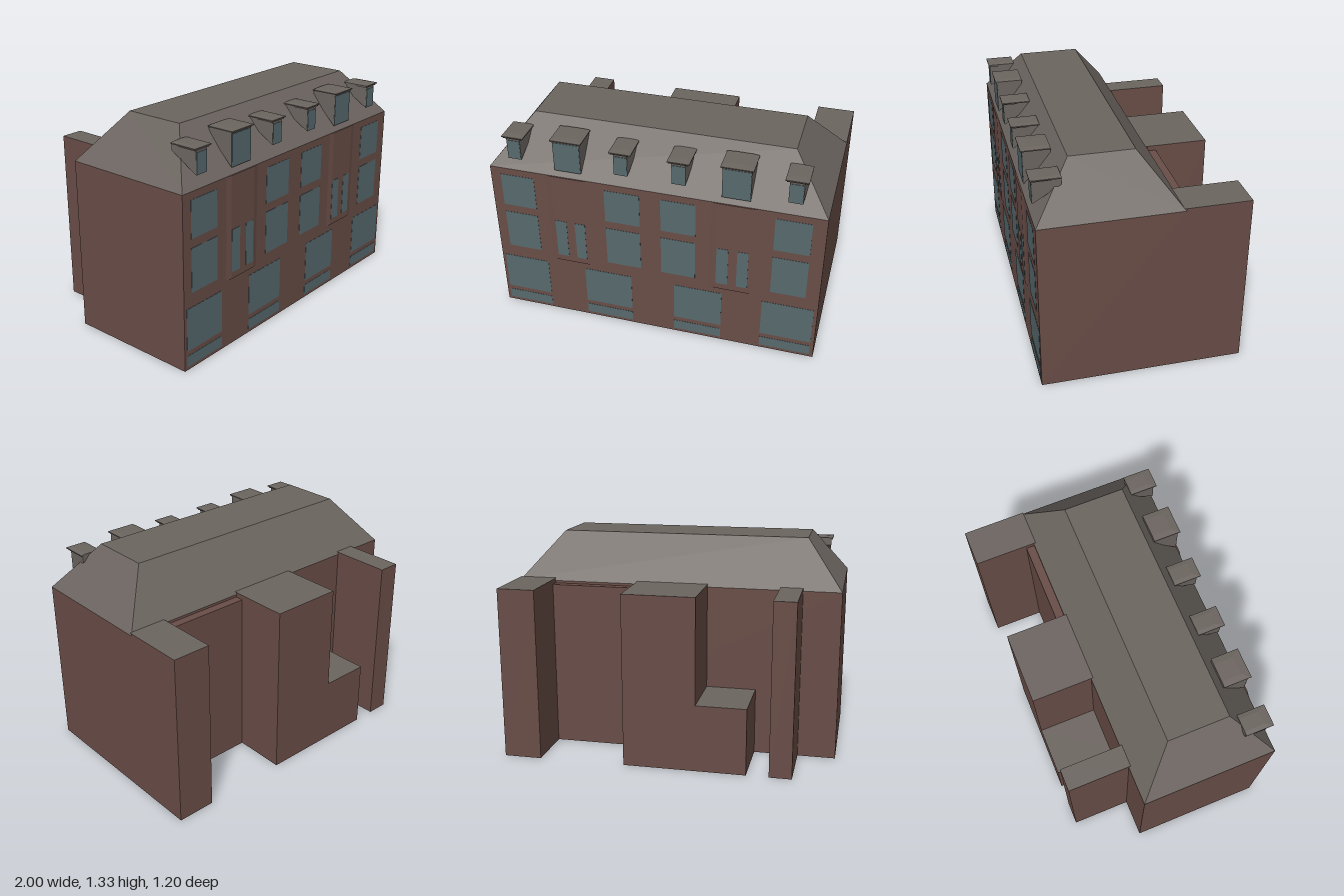
import * as THREE from 'three';
import { ConvexGeometry } from 'three/addons/geometries/ConvexGeometry.js';

const flat = (name, color) => {
  const m = new THREE.MeshStandardMaterial({ color });
  m.name = name;
  return m;
};

export function createModel() {
  const brick = flat('brick', 0x694d47);
  brick.side = THREE.DoubleSide; // the rear wings are open underneath
  const slate = flat('slate', 0x6c6560);
  const glass = flat('glass', 0x56696d);

  const model = new THREE.Group();
  model.name = 'townhouse';

  const add = (name, geometry, material, parent = model) => {
    const mesh = new THREE.Mesh(geometry, material);
    mesh.name = name;
    parent.add(mesh);
  };

  // Box from ranges, optionally keeping only some faces: 0 +x, 1 -x, 2 +y, 3 -y, 4 +z, 5 -z
  const box = (x0, x1, y0, y1, z0, z1, faces) => {
    const g = new THREE.BoxGeometry(x1 - x0, y1 - y0, z1 - z0);
    g.translate((x0 + x1) / 2, (y0 + y1) / 2, (z0 + z1) / 2);
    if (faces) {
      const index = Array.from(g.index.array);
      g.setIndex(faces.flatMap((f) => index.slice(f * 6, f * 6 + 6)));
      g.clearGroups();
    }
    return g;
  };

  const hull = (points) => new ConvexGeometry(points.map((p) => new THREE.Vector3(...p)));
  const rect = (x0, x1, y, z0, z1) => [[x0, y, z0], [x1, y, z0], [x1, y, z1], [x0, y, z1]];

  const FRONT = 0.588, BACK = -0.228, EAVES = 1.04;

  // Main block
  add('mainWalls', box(-1, 1, 0, EAVES, BACK, FRONT, [0, 1, 3, 4, 5]), brick);

  // Hipped roof with a flat top
  add('mainRoof', hull([
    ...rect(-1, 1, EAVES, BACK, FRONT),
    ...rect(-0.775, 0.77, 1.325, -0.005, 0.367),
  ]), slate);

  // Rear wings: x range, height, back z
  const wings = [
    ['rightRearWing', -0.77, -0.635, 1.055, -0.597],
    ['lowRearWing', -0.5, -0.195, 0.41, -0.597],
    ['middleRearWing', -0.195, 0.245, 1.055, -0.597],
    ['leftRearWing', 0.77, 1, 1.055, -0.604],
  ];
  for (const [name, x0, x1, h, z] of wings) {
    const wing = new THREE.Group();
    wing.name = name;
    model.add(wing);
    add('wingWalls', box(x0, x1, 0, h, z, BACK, [0, 1, 5]), brick, wing);
    add('wingRoof', box(x0, x1, 0, h, z, BACK + 0.012, [2]), slate, wing);
  }

  // Shallow step in the rear wall between two wings
  add('rearWallStep', box(0.245, 0.77, 0, 1.025, -0.28, BACK, [2, 5]), brick);

  // Shallow bays on the front with sloped sides
  for (const [x0, x1] of [[-0.65, -0.38], [0.345, 0.615]]) {
    add('frontBay', hull([0.42, EAVES].flatMap((y) => [
      [x0, y, FRONT], [x1, y, FRONT], [x0 + 0.035, y, 0.596], [x1 - 0.035, y, 0.596],
    ])), brick);
  }

  // Front windows
  const pane = (name, x0, x1, y0, y1, z = FRONT) =>
    add(name, box(x0, x1, y0, y1, z, z + 0.0015), glass);
  for (const [x0, x1] of [[-0.98, -0.69], [-0.445, -0.145], [0.127, 0.422], [0.667, 0.978]]) {
    pane('shopWindow', x0, x1, 0.117, 0.375);
    pane('cellarWindow', x0, x1, 0.02, 0.087);
  }
  for (const [x0, x1] of [[-0.937, -0.728], [-0.293, -0.08], [0.047, 0.256], [0.711, 0.92]]) {
    pane('firstFloorWindow', x0, x1, 0.46, 0.722);
    pane('secondFloorWindow', x0, x1, 0.775, 0.995);
  }
  for (const [x0, x1] of [[-0.61, -0.54], [-0.487, -0.423], [0.385, 0.455], [0.508, 0.574]]) {
    pane('narrowWindow', x0, x1, 0.46, 0.722, 0.596);
  }

  // Dormers: wedge body, window, cornice and low cap
  const dormer = (cx, w, y0, y1, flare, windowTop) => {
    const g = new THREE.Group();
    g.name = 'dormer';
    model.add(g);
    const a = w / 2, b = a + flare, c = b + 0.008, zf = 0.576, zb = 0.42;
    add('dormerBody', hull([
      [cx - a, y0, zf], [cx + a, y0, zf], [cx - a, y1, zf], [cx + a, y1, zf],
      [cx - b, y1 - 0.03, zb], [cx + b, y1 - 0.03, zb], [cx - b, y1, zb], [cx + b, y1, zb],
    ]), slate, g);
    add('dormerWindow', box(cx - a + 0.002, cx + a - 0.002, y0 + 0.004, windowTop, zf, zf + 0.003), glass, g);
    add('dormerCornice', box(cx - c + 0.008, cx + c - 0.008, y1, y1 + 0.008, zb, 0.582), slate, g);
    add('dormerCap', hull([
      ...rect(cx - c, cx + c, y1 + 0.008, zb, 0.588),
      ...rect(cx - c, cx + c, y1 + 0.014, zb, 0.588),
      ...rect(cx - c * 0.6, cx + c * 0.6, y1 + 0.018, zb, 0.54),
    ]), slate, g);
  };
  for (const cx of [-0.836, -0.188, 0.152, 0.812]) dormer(cx, 0.082, 1.11, 1.247, 0.016, 1.234);
  for (const cx of [-0.511, 0.483]) dormer(cx, 0.164, 1.075, 1.268, 0.003, 1.264);

  return model;
}
